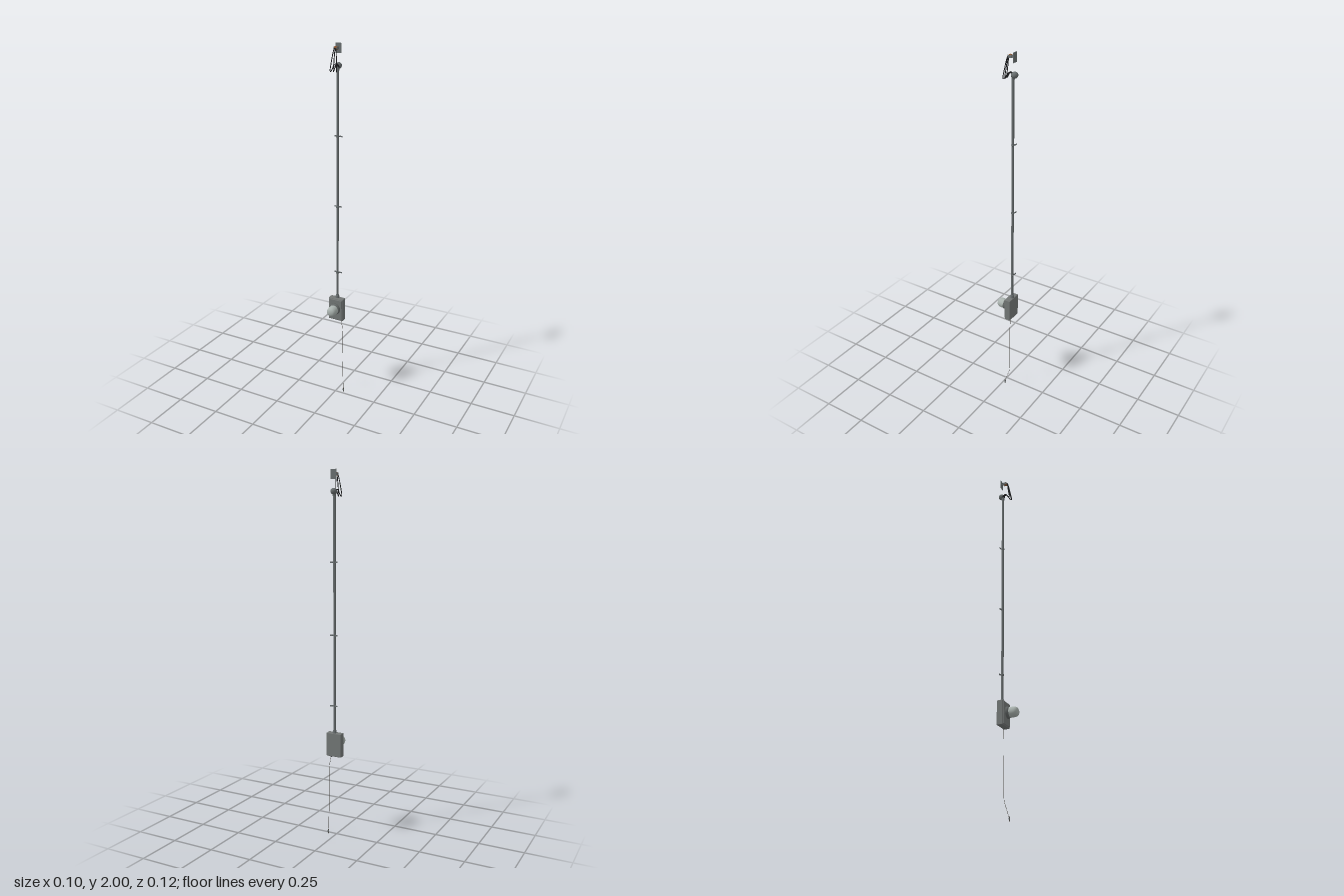
import * as THREE from 'three';
import { RoundedBoxGeometry } from 'three/addons/geometries/RoundedBoxGeometry.js';

const mat = (name, color) => {
  const m = new THREE.MeshStandardMaterial({ color });
  m.name = name;
  return m;
};

export function createModel() {
  const group = new THREE.Group();
  const enclosure = mat('enclosure grey', 0x737776);
  const steel = mat('galvanised steel', 0x696f70);
  const collarGrey = mat('collar grey', 0x626766);
  const darkMetal = mat('dark metal', 0x4a4e4e);
  const glass = mat('meter glass', 0xaab3af);
  const rubber = mat('cable black', 0x1c1d1f);
  const ceramic = mat('insulator brown', 0x8a5734);
  const ground = mat('ground wire', 0x55524c);

  const X = -0.0045, MAST_Z = -0.033;
  const add = (name, geo, material, x = 0, y = 0, z = 0, parent = group) => {
    const mesh = new THREE.Mesh(geo, material);
    mesh.name = name;
    mesh.position.set(x, y, z);
    parent.add(mesh);
    return mesh;
  };
  const cyl = (r1, r2, h, n = 20) => new THREE.CylinderGeometry(r1, r2, h, n);
  // Lathe whose axis points along +z; profile pairs are [radius, z]
  const latheZ = (profile, n = 28) => new THREE.LatheGeometry(
    profile.map(([r, z]) => new THREE.Vector2(r, z)), n).rotateX(Math.PI / 2);
  const tube = (points, r, segments = 32, sides = 8) => new THREE.TubeGeometry(
    new THREE.CatmullRomCurve3(points.map(p => new THREE.Vector3(...p)), false, 'centripetal'),
    segments, r, sides);

  // Meter enclosure and cover
  add('meterBox', new RoundedBoxGeometry(0.089, 0.133, 0.035, 3, 0.004), enclosure, X, 0.5335, -0.0275);
  add('boxCover', new RoundedBoxGeometry(0.079, 0.123, 0.008, 2, 0.003), enclosure, X, 0.5335, -0.009);

  // Meter: stepped collar, glass dome
  add('meterCollar', latheZ([[0, -0.006], [0.032, -0.006], [0.032, 0], [0.029, 0.001],
    [0.029, 0.013], [0, 0.013]]), collarGrey, X, 0.54, 0);
  add('meterGlass', latheZ([[0.028, 0.012], [0.0275, 0.03], [0.0265, 0.042], [0.023, 0.051],
    [0.016, 0.056], [0.008, 0.058], [0, 0.0585]], 32), glass, X, 0.54, 0);

  // Mast with hub
  add('mast', cyl(0.0068, 0.0068, 1.285), steel, X, 1.2425, MAST_Z);
  add('mastHub', cyl(0.0095, 0.011, 0.016), steel, X, 0.608, MAST_Z);

  // Two-hole straps holding the mast to the wall
  for (const y of [0.753, 1.14, 1.527]) {
    const strap = new THREE.Group();
    strap.name = 'mastStrap';
    strap.position.set(X, y, MAST_Z);
    group.add(strap);
    add('strapBand', cyl(0.0082, 0.0082, 0.007), steel, 0, 0, 0, strap);
    for (const s of [-1, 1]) {
      add('strapSide', new THREE.BoxGeometry(0.0016, 0.007, 0.009), steel, s * 0.0074, 0, -0.0045, strap);
      add('strapEar', new THREE.BoxGeometry(0.015, 0.007, 0.002), steel, s * 0.0148, 0, -0.009, strap);
    }
  }

  // Weatherhead: round hood bulging backward, dark cable face toward the front
  const head = new THREE.Group();
  head.name = 'weatherhead';
  head.position.set(X, 1.889, -0.043);
  head.rotation.x = 0.35;
  group.add(head);
  add('hood', latheZ([[0, -0.0165], [0.005, -0.0158], [0.01, -0.0133], [0.014, -0.009],
    [0.0163, -0.003], [0.0166, 0.003], [0.0155, 0.009], [0.0135, 0.014], [0, 0.014]], 24),
  steel, 0, 0, 0, head);
  add('cableFace', cyl(0.0128, 0.0128, 0.003).rotateX(Math.PI / 2), rubber, 0, 0, 0.0135, head);
  add('headCollar', cyl(0.009, 0.009, 0.014), steel, X, 1.873, MAST_Z);

  // Wall bracket: plate, pin and clevis cheeks around the spool insulator
  add('bracketPlate', new THREE.BoxGeometry(0.033, 0.05, 0.003), steel, X, 1.975, -0.0425);
  add('bracketPin', cyl(0.004, 0.004, 0.016, 12).rotateX(Math.PI / 2), steel, X, 1.977, -0.034);
  add('clevisBack', new THREE.BoxGeometry(0.017, 0.013, 0.002), steel, X, 1.977, -0.027);
  for (const s of [-1, 1]) {
    add('clevisCheek', new THREE.BoxGeometry(0.002, 0.013, 0.022), steel, X + s * 0.0085, 1.977, -0.017);
  }
  add('insulator', latheZ([[0, -0.0075], [0.009, -0.0075], [0.0095, -0.004], [0.007, -0.0015],
    [0.007, 0.0015], [0.0095, 0.004], [0.009, 0.0075], [0, 0.0075]], 20).rotateY(Math.PI / 2),
  ceramic, X, 1.977, -0.016);

  // Three service cables with drip loops
  for (const s of [-1, 0, 1]) {
    add('serviceCable', tube([
      [X + s * 0.005, 1.977, -0.005], [X + s * 0.009, 1.955, 0.0],
      [X + s * 0.015, 1.905, 0.009], [X + s * 0.0175, 1.872, 0.0145],
      [X + s * 0.0165, 1.864, 0.0125], [X + s * 0.013, 1.871, 0.006],
      [X + s * 0.009, 1.893, -0.008], [X + s * 0.006, 1.9, -0.017],
      [X + s * 0.005, 1.892, -0.03],
    ], 0.0023, 44), rubber);
  }

  // Ground wire from the box to its clamp
  add('groundBushing', cyl(0.004, 0.004, 0.01, 12), darkMetal, 0.016, 0.467, -0.034);
  add('groundWire', tube([[0.016, 0.47, -0.034], [0.0185, 0.45, -0.035], [0.0255, 0.41, -0.037],
    [0.027, 0.3, -0.0375], [0.0275, 0.18, -0.0375], [0.03, 0.1, -0.037],
    [0.037, 0.055, -0.026], [0.045, 0.012, -0.015]], 0.001, 48, 6), ground);
  add('groundRod', cyl(0.0025, 0.0025, 0.024, 10), ground, 0.045, 0.012, -0.016);
  add('groundClamp', cyl(0.0045, 0.0045, 0.01, 12), steel, 0.045, 0.014, -0.016);

  return group;
}
